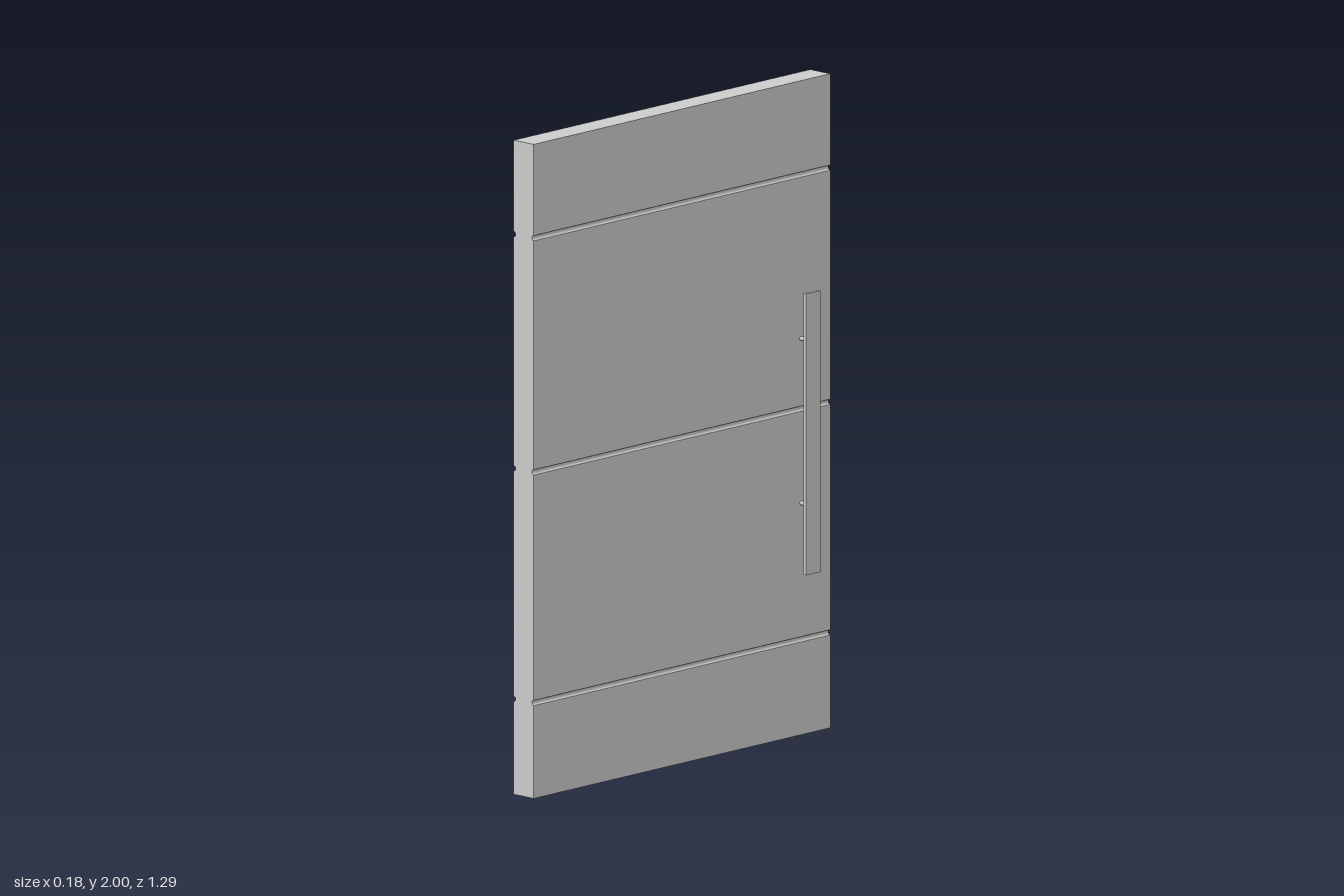
import * as THREE from 'three';

const material = new THREE.MeshStandardMaterial({ color: 0xcccccc });

function addMesh(parent, name, geometry, x = 0, y = 0, z = 0) {
  const mesh = new THREE.Mesh(geometry, material);
  mesh.name = name;
  mesh.position.set(x, y, z);
  parent.add(mesh);
  return mesh;
}

// Door slab: grooved side profile extruded across the door's width
function doorGeometry() {
  const half = 0.041, width = 1.29, r = 0.008;
  const grooves = [0.292, 0.997, 1.713];
  const shape = new THREE.Shape();
  shape.moveTo(-half, 0);
  shape.lineTo(half, 0);
  for (const y of grooves) {
    shape.lineTo(half, y - r);
    shape.absarc(half, y, r, -Math.PI / 2, Math.PI / 2, true);
  }
  shape.lineTo(half, 2);
  shape.lineTo(-half, 2);
  for (const y of [...grooves].reverse()) {
    shape.lineTo(-half, y + r);
    shape.absarc(-half, y, r, Math.PI / 2, -Math.PI / 2, true);
  }
  shape.closePath();
  const geometry = new THREE.ExtrudeGeometry(shape, { depth: width, bevelEnabled: false, curveSegments: 8 });
  return geometry.translate(0, 0, -width / 2);
}

// Pull handle: flat bar held off the door by two round posts
function makeHandle(name, innerX, barX, postZ) {
  const handle = new THREE.Group();
  handle.name = name;
  addMesh(handle, 'handleBar', new THREE.BoxGeometry(0.011, 0.86, 0.063), barX, 0.93, -0.52);
  const length = Math.abs(barX - innerX);
  for (const y of [0.709, 1.212]) {
    const post = new THREE.CylinderGeometry(0.0065, 0.0065, length, 20).rotateZ(Math.PI / 2);
    addMesh(handle, 'handlePost', post, (innerX + barX) / 2, y, postZ);
  }
  return handle;
}

export function createModel() {
  const model = new THREE.Group();
  model.name = 'door';
  addMesh(model, 'doorPanel', doorGeometry());
  model.add(makeHandle('leftHandle', 0.038, 0.084, -0.518));
  model.add(makeHandle('rightHandle', -0.038, -0.088, -0.522));
  return model;
}
